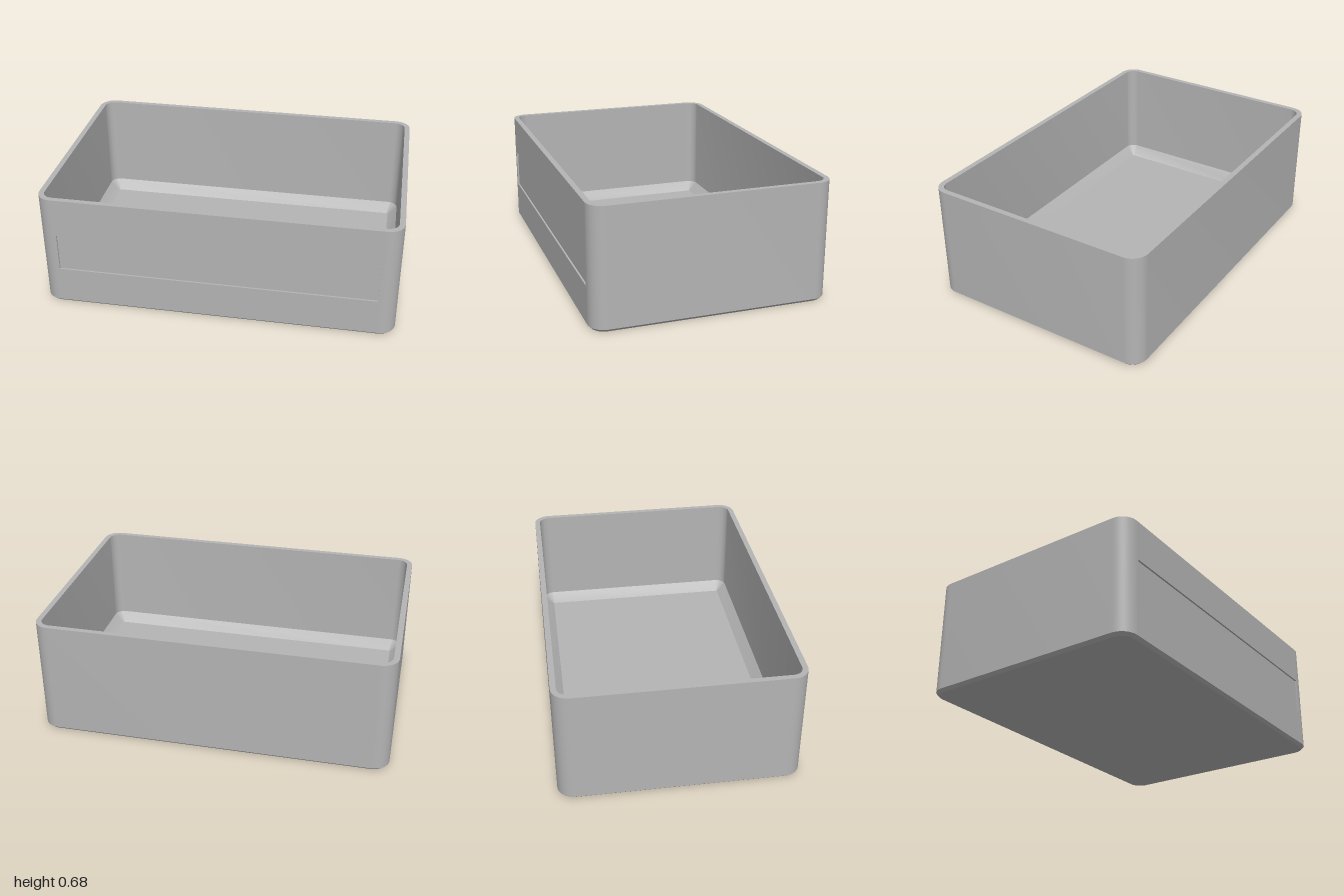
import * as THREE from 'three';
import { toCreasedNormals } from 'three/addons/utils/BufferGeometryUtils.js';

const HX = 1, HZ = 0.663, H = 0.675; // outer half width, half depth, height
const R = 0.09, WALL = 0.031, CHAMFER = 0.017;
const SEG = 10; // steps per rounded corner

// Rounded rectangle at height y, inset from the outer outline
function ring(inset, y) {
  const r = Math.max(R - inset, 0.005);
  const cx = HX - inset - r, cz = HZ - inset - r;
  const points = [];
  [[1, 1], [-1, 1], [-1, -1], [1, -1]].forEach(([sx, sz], corner) => {
    for (let i = 0; i <= SEG; i++) {
      const a = (corner + i / SEG) * Math.PI / 2;
      points.push([sx * cx + r * Math.cos(a), y, sz * cz + r * Math.sin(a)]);
    }
  });
  return points;
}

// Join successive rings; skip(i, j) leaves a quad open
function loft(rings, skip) {
  const pos = [], n = rings[0].length;
  for (let i = 0; i < rings.length - 1; i++) {
    for (let j = 0; j < n; j++) {
      if (skip(i, j)) continue;
      const k = (j + 1) % n;
      const a = rings[i][j], b = rings[i][k], c = rings[i + 1][k], d = rings[i + 1][j];
      if (d !== c) pos.push(...a, ...d, ...c);
      if (a !== b) pos.push(...a, ...c, ...b);
    }
  }
  const geometry = new THREE.BufferGeometry();
  geometry.setAttribute('position', new THREE.Float32BufferAttribute(pos, 3));
  return toCreasedNormals(geometry, Math.PI / 7);
}

function rectangle(target, x0, y0, x1, y1) {
  target.moveTo(x0, y0);
  target.lineTo(x1, y0);
  target.lineTo(x1, y1);
  target.lineTo(x0, y1);
  target.closePath();
  return target;
}

export function createModel() {
  const group = new THREE.Group();
  group.name = 'openTray';
  const grey = new THREE.MeshStandardMaterial({ color: 0xb4b4b4 });
  grey.name = 'grey';

  const add = (name, geometry, z = 0) => {
    const mesh = new THREE.Mesh(geometry, grey);
    mesh.name = name;
    mesh.position.z = z;
    group.add(mesh);
    return mesh;
  };

  // Underside, outer wall, rim, inner wall, sloped foot and floor
  const centre = (y) => {
    const p = [0, y, 0];
    return Array(4 * (SEG + 1)).fill(p);
  };
  const rings = [
    centre(0), ring(CHAMFER, 0), ring(0, CHAMFER), ring(0, H),
    ring(WALL, H), ring(WALL, 0.1), ring(WALL + 0.055, 0.045), centre(0.045),
  ];
  // The flat front of the outer wall is left open for the label panel
  add('trayBody', loft(rings, (i, j) => i === 2 && j === SEG));

  // Front wall face with a shallow label recess
  const depth = 0.01;
  const face = rectangle(new THREE.Shape(), -(HX - R), CHAMFER, HX - R, H);
  face.holes.push(rectangle(new THREE.Path(), -0.895, 0.228, 0.895, 0.448));
  add('frontFace', new THREE.ExtrudeGeometry(face, { depth, bevelEnabled: false }), HZ - depth);

  const back = add('labelRecess', new THREE.PlaneGeometry(1.79, 0.22), HZ - depth);
  back.position.y = 0.338;

  return group;
}
